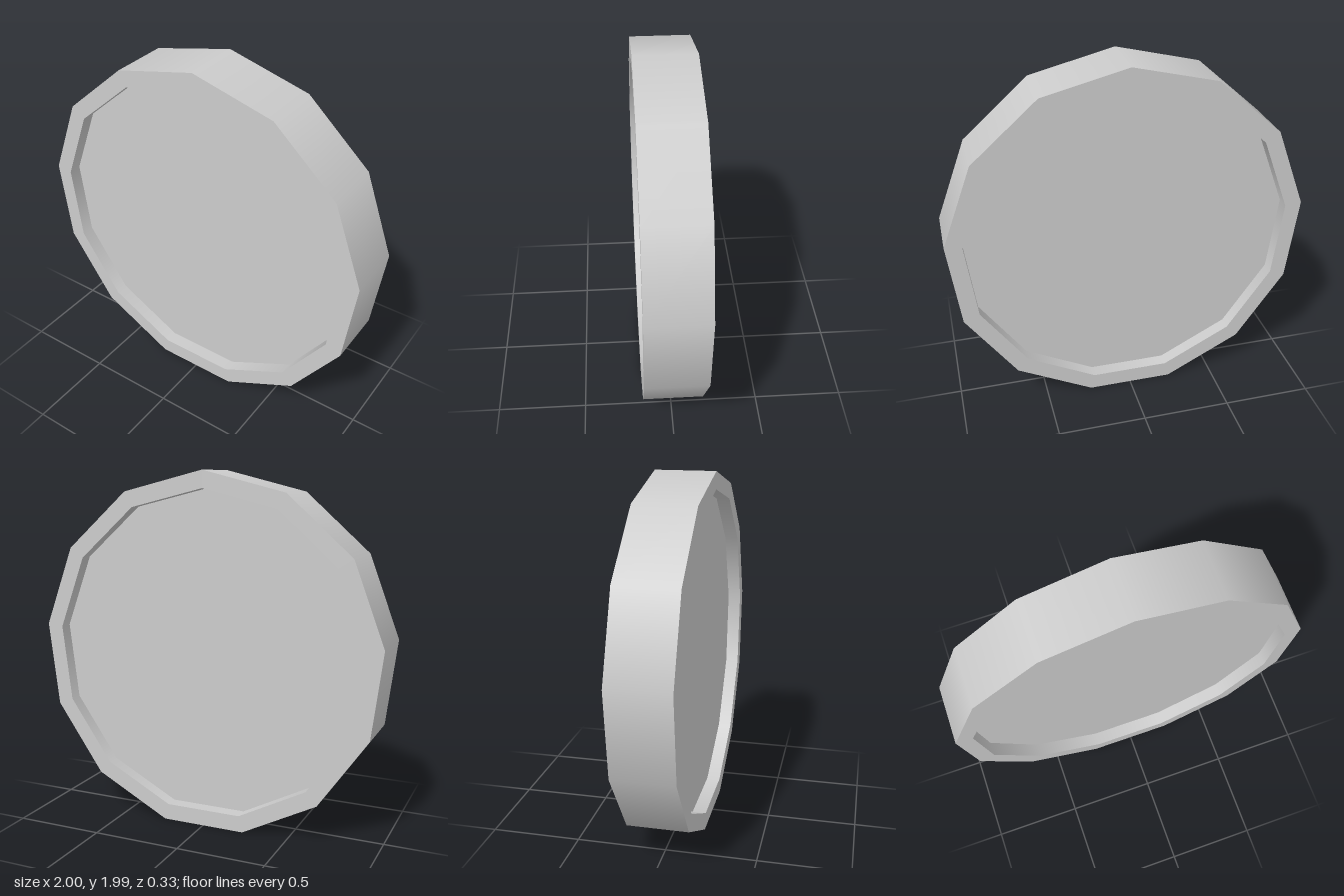
import * as THREE from 'three';

const SIDES = 13;
const OUTER = 1.0073;   // outer corner radius
const INNER = 0.912;    // recess corner radius
const HALF = 0.167;     // half thickness
const FLOOR = 0.091;    // half thickness inside the recess

const material = new THREE.MeshStandardMaterial({ color: 0xcccccc });

// One band of revolution about z, first corner pointing up
function band(name, r1, d1, r2, d2) {
  const profile = [new THREE.Vector2(r1, d1), new THREE.Vector2(r2, d2)];
  const geometry = new THREE.LatheGeometry(profile, SIDES).rotateX(-Math.PI / 2);
  const mesh = new THREE.Mesh(geometry, material);
  mesh.name = name;
  return mesh;
}

export function createModel() {
  const disc = new THREE.Group();
  disc.name = 'disc';

  // Bands stay separate so the edges between them are sharp
  disc.add(
    band('frontPanel', 0, -FLOOR, INNER, -FLOOR),
    band('frontRecessWall', INNER, -FLOOR, INNER, -HALF),
    band('frontRim', INNER, -HALF, OUTER, -HALF),
    band('outerWall', OUTER, -HALF, OUTER, HALF),
    band('backRim', OUTER, HALF, INNER, HALF),
    band('backRecessWall', INNER, HALF, INNER, FLOOR),
    band('backPanel', INNER, FLOOR, 0, FLOOR),
  );

  // Rest the flat bottom side on the ground
  disc.position.y = OUTER * Math.cos(Math.PI / SIDES);

  const model = new THREE.Group();
  model.name = 'recessedDisc';
  model.add(disc);
  return model;
}
